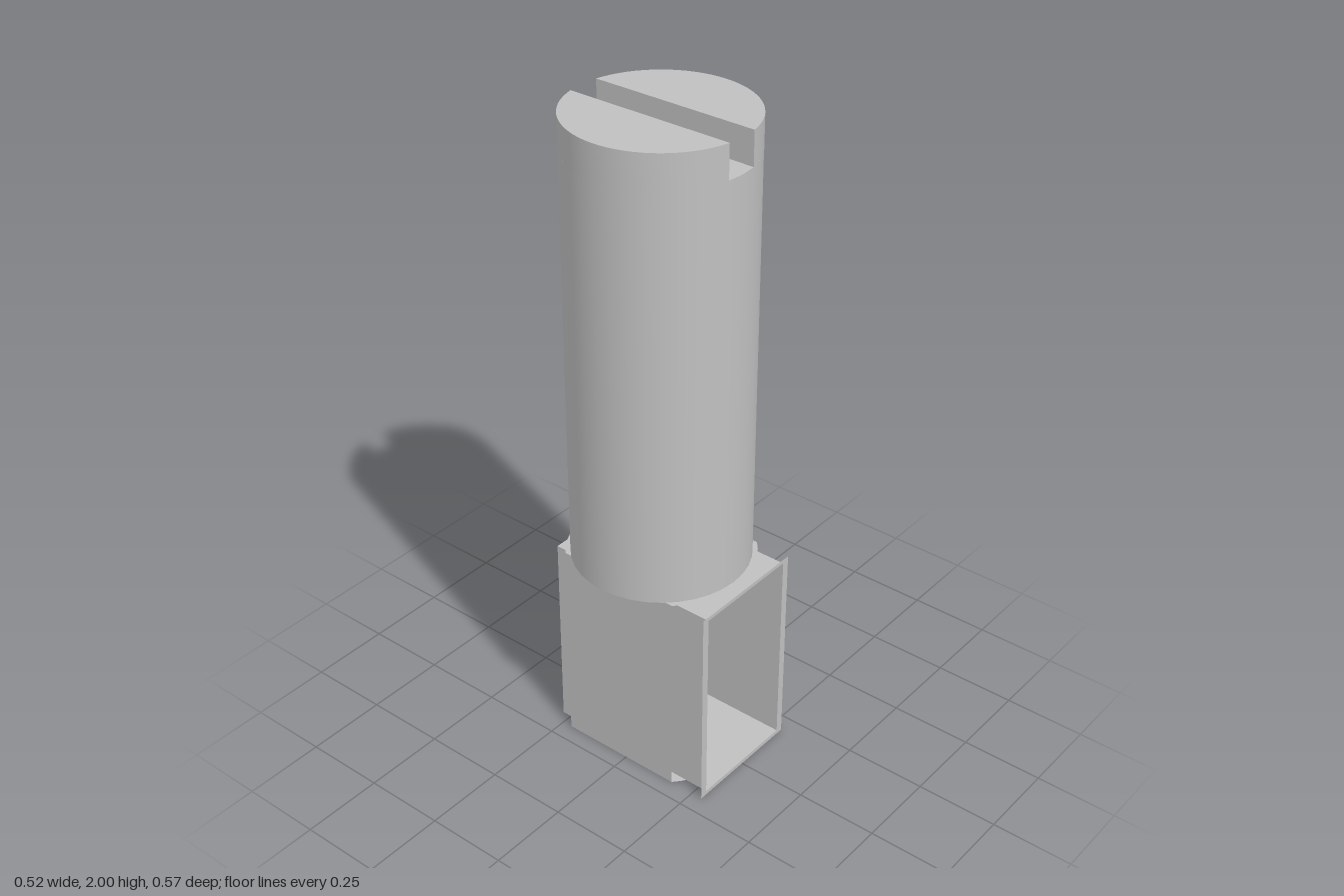
import * as THREE from 'three';
import { toCreasedNormals } from 'three/addons/utils/BufferGeometryUtils.js';

const R = 0.262, CZ = -0.0225;          // shaft radius and axis position
const HW = 0.195, IW = 0.172;           // half widths of housing and tunnel
const Y0 = 0.013, Y1 = 0.638, TOP = 0.65;
const FRONT = 0.285, BACK = -0.27;

export function createModel() {
  const model = new THREE.Group();
  const grey = new THREE.MeshStandardMaterial({ color: 0xc0c0c0, side: THREE.DoubleSide });
  grey.name = 'light grey';

  const add = (name, geometry, x = 0, y = 0, z = 0) => {
    const mesh = new THREE.Mesh(geometry, grey);
    mesh.name = name;
    mesh.position.set(x, y, z);
    model.add(mesh);
    return mesh;
  };

  // Round shaft up to the floor of the slot
  add('shaft', new THREE.CylinderGeometry(R, R, 1.9 - TOP, 36), 0, (1.9 + TOP) / 2, CZ);

  // Two segments either side of the screwdriver slot
  const a = Math.acos(0.05 / R);
  for (const side of [0, 1]) {
    const shape = new THREE.Shape();
    shape.absarc(0, 0, R, -a + side * Math.PI, a + side * Math.PI, false);
    shape.closePath();
    const geo = new THREE.ExtrudeGeometry(shape, { depth: 0.1, bevelEnabled: false, curveSegments: 16 });
    geo.rotateX(-Math.PI / 2);
    add(side ? 'rightSlotHead' : 'leftSlotHead', toCreasedNormals(geo, 0.6), 0, 1.9, CZ);
  }

  // Thin housing plates, rounded at the ends and cut flat at the back
  const r = 0.2765, points = [];
  const edge = Math.asin(HW / r);
  const n = 14;
  for (let i = 0; i <= n; i++) {
    const t = -edge + (2 * edge * i) / n;
    points.push(new THREE.Vector2(r * Math.sin(t), CZ + r * Math.cos(t)));
  }
  for (let i = 0; i <= n; i++) {
    const t = edge - (2 * edge * i) / n;
    points.push(new THREE.Vector2(r * Math.sin(t), Math.max(BACK, CZ - r * Math.cos(t))));
  }
  const plate = new THREE.ShapeGeometry(new THREE.Shape(points));
  plate.rotateX(Math.PI / 2);
  add('housingTop', plate, 0, TOP - 0.001, 0);
  add('housingBottom', plate);

  // Flat housing sides
  const flat = r * Math.cos(edge);
  for (const s of [-1, 1]) {
    const geo = new THREE.PlaneGeometry(2 * flat, TOP).rotateY(s * Math.PI / 2);
    add(s > 0 ? 'housingLeftSide' : 'housingRightSide', geo, s * HW, TOP / 2, CZ);
  }

  // Open rectangular tunnel from front to back
  const depth = FRONT - BACK, midZ = (FRONT + BACK) / 2, midY = (Y0 + Y1) / 2;
  for (const s of [-1, 1]) {
    add(s > 0 ? 'tunnelLeftWall' : 'tunnelRightWall',
      new THREE.PlaneGeometry(depth, Y1 - Y0).rotateY(s * Math.PI / 2), s * IW, midY, midZ);
    add(s > 0 ? 'tunnelCeiling' : 'tunnelFloor',
      new THREE.PlaneGeometry(2 * IW, depth).rotateX(-s * Math.PI / 2), 0, s > 0 ? Y1 : Y0, midZ);
  }

  // Thin frame around the front opening
  const rect = (path, w, lo, hi) =>
    path.moveTo(-w, lo).lineTo(w, lo).lineTo(w, hi).lineTo(-w, hi).closePath();
  const frame = new THREE.Shape();
  rect(frame, HW, 0, TOP);
  const hole = new THREE.Path();
  rect(hole, IW, Y0, Y1);
  frame.holes.push(hole);
  add('frontFrame', new THREE.ShapeGeometry(frame), 0, 0, FRONT);

  return model;
}
